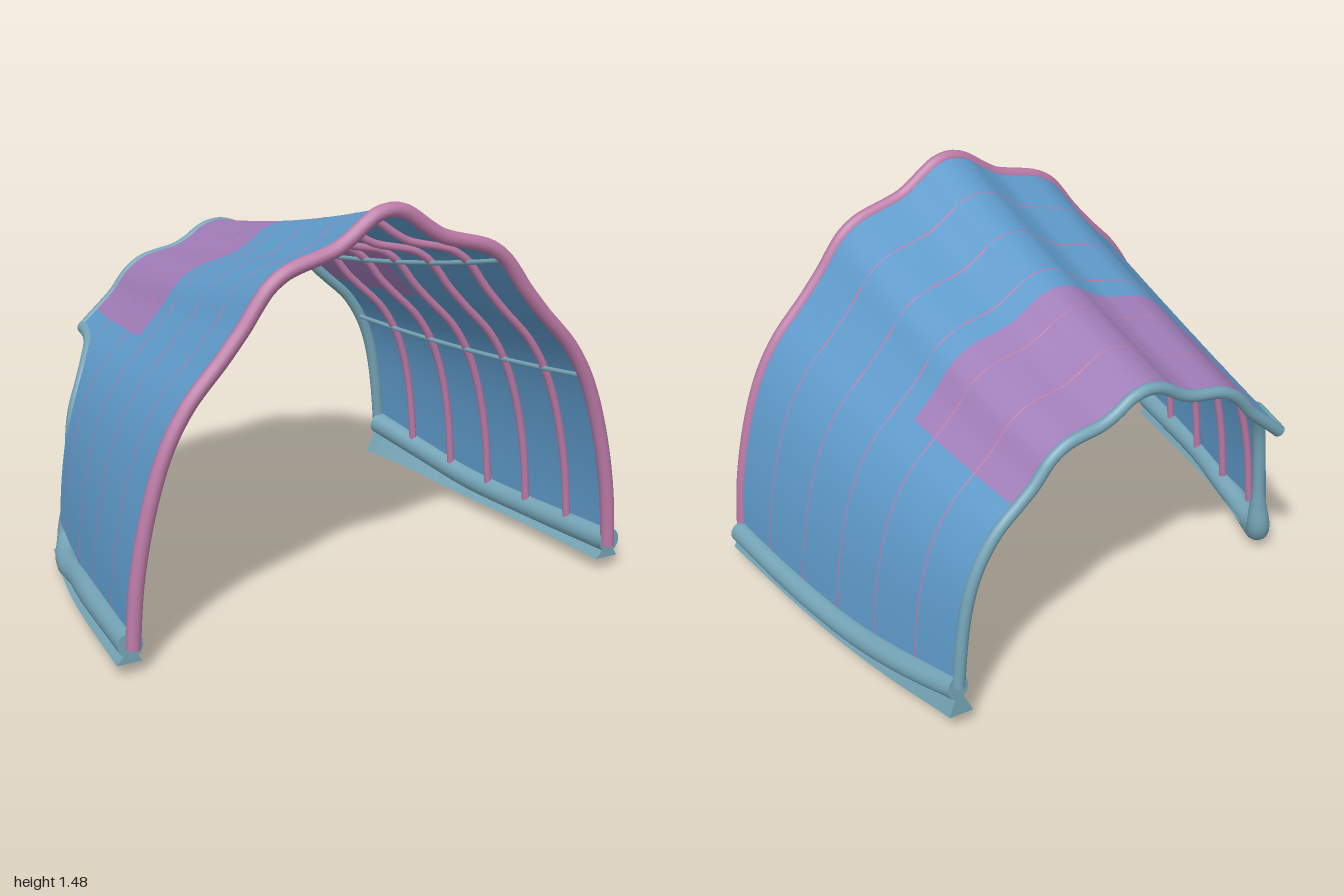
import * as THREE from 'three';

const mat = (color, extra = {}) => new THREE.MeshStandardMaterial({ color, ...extra });
const BLUE = mat(0x5f9bcb, { side: THREE.DoubleSide });
const PURPLE = mat(0xa07db8, { side: THREE.DoubleSide });
const PINK = mat(0xbb7aa6);
const TEAL = mat(0x74a3b5);
const TEAL_FLAT = mat(0x74a3b5, { flatShading: true });

const ZF = 0.67, ZB = -0.67, K = 14;
const V = (x, y, z) => new THREE.Vector3(x, y, z);

// Half profiles from ridge to foot, mirrored into full arches
function arch(half) {
  const right = half.map(([x, y]) => V(x, y, 0));
  const left = half.slice(1).reverse().map(([x, y]) => V(-x, y, 0));
  return new THREE.CatmullRomCurve3([...left, ...right]);
}
const frontProfile = arch([[0, 1.455], [0.06, 1.44], [0.13, 1.39], [0.2, 1.345], [0.3, 1.315],
  [0.38, 1.29], [0.45, 1.24], [0.53, 1.13], [0.62, 1.02], [0.72, 0.91], [0.79, 0.8],
  [0.84, 0.68], [0.89, 0.5], [0.925, 0.3], [0.94, 0.1]]);
const backProfile = arch([[0, 1.125], [0.06, 1.11], [0.12, 1.07], [0.18, 1.043], [0.25, 1.03],
  [0.31, 1.015], [0.37, 0.975], [0.43, 0.9], [0.5, 0.835], [0.57, 0.77], [0.625, 0.69],
  [0.662, 0.61], [0.692, 0.5], [0.714, 0.35], [0.727, 0.2]]);

// Centre-line point at arch position k (-14..14) and depth z
function raw(k, z) {
  const t = (ZF - z) / (ZF - ZB), u = THREE.MathUtils.clamp((k + K) / (2 * K), 0, 1);
  const p = frontProfile.getPoint(u).lerp(backProfile.getPoint(u), t);
  const bow = 4 * t * (1 - t);
  return V(p.x * (1 + 0.02 * bow), p.y - 0.025 * bow, z);
}
// Canvas point, lying just outside the centre line, or moved inward from it by inset
function surf(k, z, inset = 0) {
  const p = raw(k, z);
  const d = raw(Math.min(k + 0.1, K), z).sub(raw(Math.max(k - 0.1, -K), z)).normalize();
  const out = 0.013 + 0.012 * (ZF - z) / (ZF - ZB) - inset;
  return V(p.x - d.y * out, p.y + d.x * out, z);
}

// Doorway edge on the right side: [k, z] from the back arch down to the foot
const CUT = [[8.85, -0.67], [8.9, -0.58], [9.1, -0.505], [9.6, -0.437], [10.3, -0.383], [11.5, -0.35], [14, -0.335]];
function backLimit(k) {
  if (k > -CUT[0][0]) return ZB;
  const i = Math.max(1, CUT.findIndex(c => c[0] >= -k));
  const [k0, z0] = CUT[i - 1], [k1, z1] = CUT[i];
  return z0 + (z1 - z0) * (-k - k0) / (k1 - k0);
}

// Skin over a list of rings, closed at both ends
function loft(rings) {
  const n = rings[0].length, pos = [], index = [];
  const add = p => pos.push(p.x, p.y, p.z) / 3 - 1;
  rings.forEach(r => r.forEach(add));
  for (let i = 0; i < rings.length - 1; i++) {
    for (let j = 0; j < n; j++) {
      const a = i * n + j, b = i * n + (j + 1) % n;
      index.push(a, b, a + n, b, b + n, a + n);
    }
  }
  [rings[0], rings[rings.length - 1]].forEach((ring, end) => {
    const c = add(ring.reduce((s, p) => s.add(p), V(0, 0, 0)).divideScalar(n));
    const ids = ring.map(add);
    ids.forEach((id, j) => {
      const next = ids[(j + 1) % n];
      index.push(c, ...(end ? [id, next] : [next, id]));
    });
  });
  const g = new THREE.BufferGeometry();
  g.setAttribute('position', new THREE.Float32BufferAttribute(pos, 3));
  g.setIndex(index);
  g.computeVertexNormals();
  return g;
}

// Capped tube whose radius may vary along its length
function tube(points, radius, steps, sides = 12) {
  const curve = new THREE.CatmullRomCurve3(points);
  const f = curve.computeFrenetFrames(steps);
  const rings = [];
  for (let i = 0; i <= steps; i++) {
    const c = curve.getPointAt(i / steps), r = typeof radius === 'function' ? radius(c) : radius;
    rings.push(Array.from({ length: sides }, (_, j) => {
      const a = j / sides * Math.PI * 2;
      return c.clone().addScaledVector(f.normals[i], r * Math.cos(a)).addScaledVector(f.binormals[i], r * Math.sin(a));
    }));
  }
  return loft(rings);
}

// Points along an arch at depth z
function archPoints(k0, k1, z, inset) {
  const n = Math.ceil((k1 - k0) * 2);
  return Array.from({ length: n + 1 }, (_, i) => surf(k0 + (k1 - k0) * i / n, z, inset));
}

// Sheet of canvas between two arch positions and two depths
function panel(k0, k1, zFront, zBack) {
  const g = new THREE.PlaneGeometry(1, 1, Math.round((k1 - k0) * 6), 20);
  const pos = g.attributes.position;
  for (let i = 0; i < pos.count; i++) {
    const k = k0 + (k1 - k0) * (pos.getX(i) + 0.5);
    const p = surf(k, THREE.MathUtils.lerp(zFront, zBack ?? backLimit(k), pos.getY(i) + 0.5));
    pos.setXYZ(i, p.x, p.y, p.z);
  }
  g.computeVertexNormals();
  return g;
}

// Wedge-shaped footing under a sill, following its path
function footing(points, baseY) {
  const curve = new THREE.CatmullRomCurve3(points);
  return loft(curve.getPoints(20).map(p => {
    const y = baseY(p.z);
    return [V(p.x - 0.055, y, p.z), V(p.x, Math.max(p.y, y + 0.03), p.z), V(p.x + 0.035, y, p.z)];
  }));
}

export function createModel() {
  const model = new THREE.Group();
  const add = (name, geometry, material) => {
    const m = new THREE.Mesh(geometry, material);
    m.name = name;
    model.add(m);
  };

  // Canvas cover with a coloured patch at the back of the roof
  const P = 8;
  add('canvasRight', panel(-K, -P, ZF), BLUE);
  add('canvasRoof', panel(-P, P, ZF, -0.1), BLUE);
  add('canvasLeft', panel(P, K, ZF), BLUE);
  add('roofPatch', panel(-P, P, -0.1, ZB), PURPLE);

  // Front arch, inner ribs and back arch
  add('frontArch', tube(archPoints(-K, K, ZF, 0.011).map(p => p.setZ(0.672)), 0.026, 140), PINK);
  [0.45, 0.22, 0, -0.22, -0.45].forEach((z, i) =>
    add('rib' + (i + 1), tube(archPoints(z < -0.4 ? -9.55 : -K, K, z, 0.014), 0.0148, 120, 10), PINK));
  add('backArch', tube(archPoints(-CUT[0][0], K, ZB, 0.014), 0.022, 120), TEAL);

  // Lengthwise stringers crossing the ribs
  [-10.2, -6, 0, 6, 10.2].forEach((k, i) => {
    const end = backLimit(k);
    const pts = Array.from({ length: 13 }, (_, j) => surf(k, ZF + (end - ZF) * j / 12, 0.021));
    add('stringer' + (i + 1), tube(pts, 0.009, 40, 8), TEAL);
  });

  // Left sill
  const leftSill = [V(0.952, 0.113, 0.67), V(0.905, 0.1, 0.22), V(0.855, 0.107, -0.12),
    V(0.805, 0.145, -0.4), V(0.74, 0.195, -0.67)];
  add('leftSill', tube(leftSill, 0.045, 50, 16), TEAL);
  add('leftFooting', footing(leftSill, z => 0.05 + 0.025 * THREE.MathUtils.smoothstep(-z, 0, 0.67)), TEAL_FLAT);

  // Right sill, turning up at the back into the doorway edge
  const rightSill = [V(-0.95, 0.113, 0.67), V(-0.905, 0.1, 0.22), V(-0.87, 0.083, 0.02),
    V(-0.845, 0.055, -0.16), V(-0.82, 0.053, -0.25)];
  const doorEdge = [V(-0.78, 0.09, -0.335), V(-0.765, 0.22, -0.345),
    ...CUT.slice(0, -1).reverse().map(([k, z]) => surf(-k, z, 0.014))];
  const sillRadius = p => 0.024 + 0.021 * (1 - THREE.MathUtils.smoothstep(p.y, 0.1, 0.3));
  add('rightSillAndDoorEdge', tube([...rightSill, ...doorEdge], sillRadius, 120, 16), TEAL);
  add('rightFooting', footing([V(-0.945, 0.11, 0.67), V(-0.9, 0.1, 0.22), V(-0.865, 0.09, 0),
    V(-0.79, 0.09, -0.33)], () => 0.05), TEAL_FLAT);

  return model;
}
